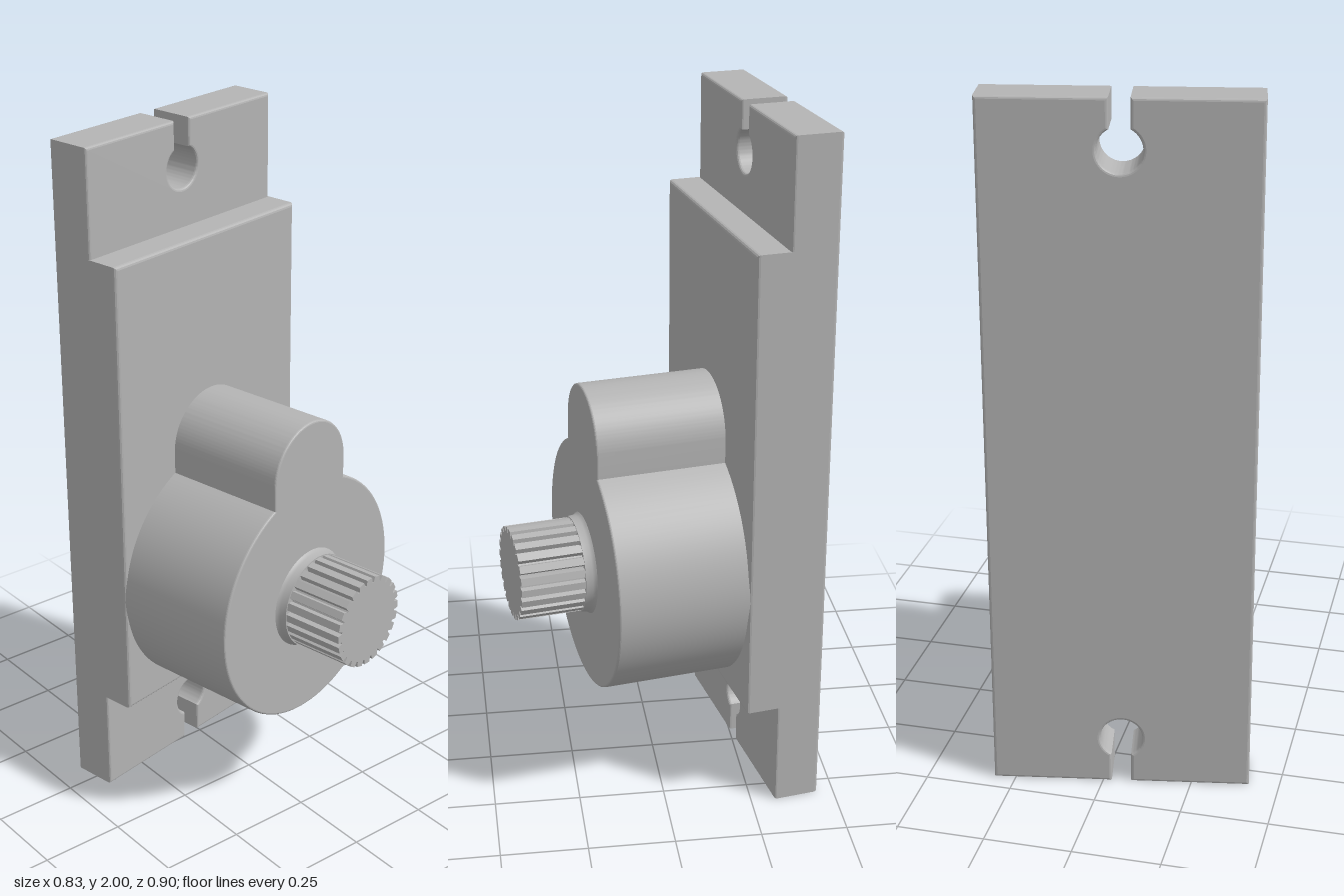
import * as THREE from 'three';
import { toCreasedNormals } from 'three/addons/utils/BufferGeometryUtils.js';

const CX = 0.016; // centre line of all parts before the body is turned

export function createModel() {
  const root = new THREE.Group();
  root.name = 'rotaryControl';
  const body = new THREE.Group();
  body.name = 'turnedBody';
  body.rotation.y = THREE.MathUtils.degToRad(10);
  root.add(body);

  const grey = new THREE.MeshStandardMaterial({ color: 0xb4b4b4 });
  grey.name = 'grey';

  // Extrudes a shape from z0 to z1 with softly rounded rims
  function slab(name, shape, z0, z1, bevel, curveSegments = 32) {
    const geo = new THREE.ExtrudeGeometry(shape, {
      depth: z1 - z0 - 2 * bevel, curveSegments,
      bevelEnabled: bevel > 0, bevelSize: bevel, bevelThickness: bevel,
      bevelOffset: -bevel, bevelSegments: 3,
    });
    geo.translate(CX, 0, z0 + bevel);
    add(name, toCreasedNormals(geo, 0.22));
  }
  function add(name, geo) {
    const mesh = new THREE.Mesh(geo, grey);
    mesh.name = name;
    body.add(mesh);
  }

  // Back plate with a keyhole slot at each end
  const W = 0.368, slot = 0.028, hole = 0.06, holeY = 0.143;
  const a = Math.asin(slot / hole);
  const plate = new THREE.Shape();
  plate.moveTo(-W, 0);
  plate.lineTo(-slot, 0);
  plate.absarc(0, holeY, hole, -Math.PI / 2 - a, -Math.PI / 2 + a - 2 * Math.PI, true);
  plate.lineTo(slot, 0);
  plate.lineTo(W, 0);
  plate.lineTo(W, 2);
  plate.lineTo(slot, 2);
  plate.absarc(0, 2 - holeY + 0.007, hole, Math.PI / 2 - a, Math.PI / 2 + a - 2 * Math.PI, true);
  plate.lineTo(-slot, 2);
  plate.lineTo(-W, 2);
  plate.closePath();
  slab('backPlate', plate, -0.392, -0.256, 0.008);

  // Raised middle block
  const block = new THREE.Shape();
  block.moveTo(-W, 0.313);
  block.lineTo(W, 0.313);
  block.lineTo(W, 1.693);
  block.lineTo(-W, 1.693);
  block.closePath();
  slab('middleBlock', block, -0.275, -0.162, 0.01);

  // Round housing with a rounded lobe on top
  const R = 0.366, r = 0.152, cy = 0.68;
  const b = Math.acos(r / R);
  const housing = new THREE.Shape();
  housing.absarc(0, cy, R, Math.PI - b, 2 * Math.PI + b, false);
  housing.absarc(0, 1.08, r, 0, Math.PI, false);
  housing.closePath();
  slab('housing', housing, -0.18, 0.215, 0.006, 48);

  // Collar flaring into the housing
  const collar = new THREE.LatheGeometry([
    [0.152, 0], [0.146, 0.006], [0.142, 0.014], [0.14, 0.034], [0.14, 0.034], [0, 0.034],
  ].map(([x, y]) => new THREE.Vector2(x, y)), 48);
  collar.rotateX(Math.PI / 2);
  collar.translate(CX, cy, 0.212);
  add('collar', toCreasedNormals(collar, 0.4));

  // Splined shaft
  const teeth = 24, pitch = 2 * Math.PI / teeth;
  const points = [];
  for (let i = 0; i < teeth; i++) {
    for (const [t, rad] of [[-0.3, 0.137], [0.3, 0.137], [0.42, 0.121], [0.58, 0.121]]) {
      const ang = (i + t) * pitch;
      points.push(new THREE.Vector2(rad * Math.cos(ang), cy + rad * Math.sin(ang)));
    }
  }
  slab('splinedShaft', new THREE.Shape(points), 0.235, 0.433, 0);

  return root;
}
